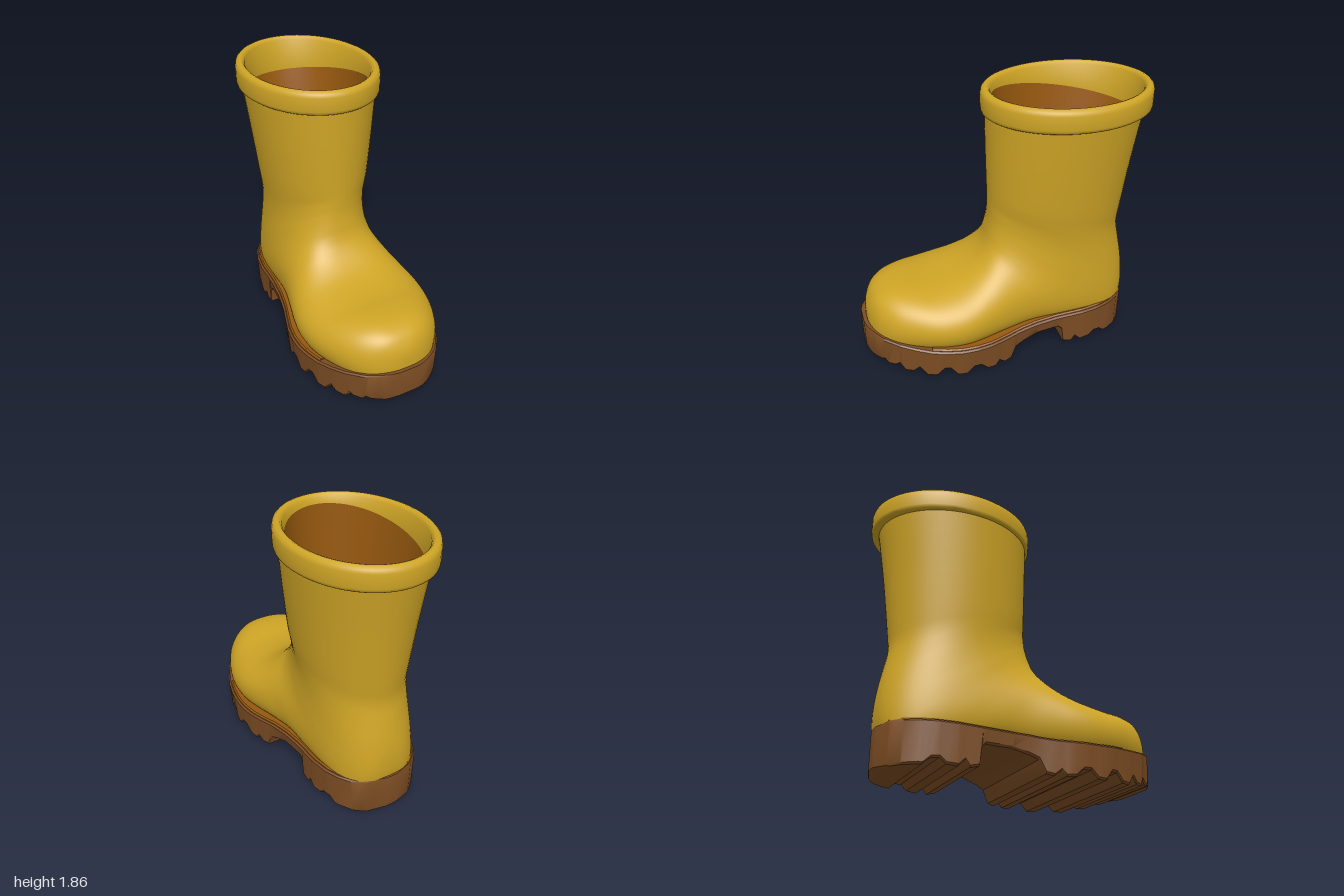
import * as THREE from 'three';
import { toCreasedNormals } from 'three/addons/utils/BufferGeometryUtils.js';

const yellow = new THREE.MeshStandardMaterial({ color: 0xcfa526 });
yellow.name = 'rubberYellow';
const brown = new THREE.MeshStandardMaterial({ color: 0x7e4e24 });
brown.name = 'soleBrown';
const orange = new THREE.MeshStandardMaterial({ color: 0x97590f });
orange.name = 'liningOrange';

// Skin a list of closed rings, each an array of [x, y, z]
function loft(rings) {
  const n = rings[0].length, index = [];
  for (let i = 0; i < rings.length - 1; i++) {
    for (let j = 0; j < n; j++) {
      const k = (j + 1) % n;
      const a = i * n + j, b = i * n + k, c = a + n, d = b + n;
      index.push(a, b, c, b, d, c);
    }
  }
  const geo = new THREE.BufferGeometry();
  geo.setAttribute('position', new THREE.Float32BufferAttribute(rings.flat(2), 3));
  geo.setIndex(index);
  geo.computeVertexNormals();
  return geo;
}

// Linear lookup in a table of [z, value], z falling
function lookup(table, z) {
  for (let i = 1; i < table.length; i++) {
    const [z0, v0] = table[i - 1], [z1, v1] = table[i];
    if (z >= z1) return v0 + (v1 - v0) * Math.min(1, Math.max(0, (z0 - z) / (z0 - z1)));
  }
  return table[table.length - 1][1];
}

// Oval ring from front zf to back zb, raised by tilt at the front and lowered at the back
function oval(y, cx, w, zf, zb, tilt = 0, n = 64) {
  return Array.from({ length: n }, (_, j) => {
    const t = (j / n) * Math.PI * 2;
    return [cx + w * Math.sin(t), y + tilt * Math.cos(t), (zf + zb) / 2 + ((zf - zb) / 2) * Math.cos(t)];
  });
}

// Toe-to-shaft sections: top z, top y, bottom z, bottom y, half width, roundness
const sections = [
  [0.973, 0.3, 0.973, 0.3, 0, 1],
  [0.968, 0.41, 0.968, 0.18, 0.08, 0.9],
  [0.94, 0.485, 0.94, 0.14, 0.17, 0.8],
  [0.89, 0.54, 0.89, 0.13, 0.25, 0.73],
  [0.80, 0.573, 0.80, 0.13, 0.33, 0.7],
  [0.68, 0.58, 0.66, 0.13, 0.398, 0.7],
  [0.55, 0.575, 0.50, 0.13, 0.447, 0.7],
  [0.42, 0.59, 0.34, 0.14, 0.462, 0.7],
  [0.31, 0.625, 0.2, 0.16, 0.447, 0.75],
  [0.22, 0.685, 0.02, 0.18, 0.412, 0.8],
  [0.16, 0.755, -0.2, 0.19, 0.378, 0.85],
  [0.13, 0.82, -0.5, 0.15, 0.36, 0.88],
  [0.115, 0.88, -0.72, 0.13, 0.35, 0.88],
  [0.105, 0.93, -0.84, 0.17, 0.342, 0.88],
  [0.1, 0.97, -0.885, 0.28, 0.335, 0.9],
  [0.098, 1.0, -0.893, 0.42, 0.328, 0.92],
  [0.097, 1.04, -0.88, 0.56, 0.325, 0.95],
  [0.097, 1.08, -0.855, 0.7, 0.328, 1],
  [0.097, 1.13, -0.83, 0.84, 0.338, 1],
  [0.098, 1.2, -0.845, 1.0, 0.355, 1],
  [0.102, 1.43, -0.89, 1.35, 0.39, 1],
  [0.105, 1.73, -0.95, 1.73, 0.43, 1],
];

function upperGeometry() {
  const curve = (f) => new THREE.CatmullRomCurve3(sections.map(f), false, 'catmullrom', 0.5);
  const top = curve((s) => new THREE.Vector3(0, s[1], s[0]));
  const bottom = curve((s) => new THREE.Vector3(0, s[3], s[2]));
  const shape = curve((s) => new THREE.Vector3(s[4], s[5], 0));
  const rings = [], steps = 84, n = 64;
  for (let i = 0; i <= steps; i++) {
    const u = i / steps;
    const A = top.getPoint(u), B = bottom.getPoint(u), s = shape.getPoint(u);
    const cx = 0.024 * THREE.MathUtils.smoothstep(u, 0.4, 1);
    // The lower half is squarer through the arch and heel
    const square = 0.43 * Math.exp(-(((u - 0.52) / 0.19) ** 2));
    rings.push(Array.from({ length: n }, (_, j) => {
      const th = (j / n) * Math.PI * 2, sn = Math.sin(th);
      const p = A.clone().lerp(B, (1 - Math.cos(th)) / 2);
      const e = Math.cos(th) > 0 ? s.y : s.y - square;
      return [cx + Math.sign(sn) * Math.max(0, s.x) * Math.pow(Math.abs(sn), e), p.y, p.z];
    }));
  }
  return loft(rings);
}

// Sole tables along z: half width, top height and lugged underside
const soleWidth = [[1, 0.08], [0.985, 0.14], [0.95, 0.205], [0.9, 0.275], [0.8, 0.352], [0.7, 0.405],
  [0.6, 0.447], [0.5, 0.473], [0.4, 0.486], [0.3, 0.486], [0.2, 0.47], [0.1, 0.44], [0, 0.41], [-0.15, 0.38],
  [-0.3, 0.365], [-0.5, 0.36], [-0.62, 0.34], [-0.72, 0.303], [-0.8, 0.25], [-0.86, 0.175], [-0.898, 0.05]];
const soleTop = [[1, 0.318], [0.9, 0.3], [0.75, 0.272], [0.6, 0.25], [0.4, 0.235], [0.2, 0.233],
  [0.08, 0.238], [-0.05, 0.255], [-0.25, 0.268], [-0.9, 0.282]];
const tread = [[1, 0.12], [0.97, 0.1], [0.92, 0.1], [0.9, 0.115], [0.88, 0.085], [0.84, 0.085], [0.81, 0.11],
  [0.78, 0.055], [0.73, 0.055], [0.69, 0.095], [0.64, 0.03], [0.58, 0.03], [0.53, 0.085], [0.49, 0.085],
  [0.44, 0.02], [0.38, 0.02], [0.33, 0.07], [0.28, 0.07], [0.23, 0.02], [0.17, 0.015], [0.14, 0.05],
  [0.1, 0.015], [0.05, 0.025], [0.01, 0.11], [-0.05, 0.135], [-0.16, 0.165], [-0.32, 0.17], [-0.345, 0.145],
  [-0.36, 0.03], [-0.42, 0.015], [-0.45, 0.055], [-0.49, 0.015], [-0.56, 0.02], [-0.6, 0.055],
  [-0.65, 0.05], [-0.69, 0.012], [-0.84, 0.008], [-0.898, 0.03]];

// Slab following the sole outline between z limits
function soleSlab(zMax, zMin, inset, topOf, bottomOf, taper) {
  const zs = [...new Set([zMax, zMin, ...soleWidth.map((p) => p[0]), ...tread.map((p) => p[0])])]
    .filter((z) => z <= zMax && z >= zMin).sort((a, b) => b - a);
  const rings = zs.map((z) => {
    const w = Math.max(0.01, lookup(soleWidth, z) - inset), t = topOf(z), b = bottomOf(z);
    const lw = w * taper, e = Math.min(0.012, w / 4);
    return [[-w + e, t, z], [w - e, t, z], [w, t - e, z], [lw, b + e, z], [lw - e, b, z],
      [-lw + e, b, z], [-lw, b + e, z], [-w, t - e, z]];
  });
  const cap = (r) => r.map(() => [0, (r[0][1] + r[4][1]) / 2, r[0][2]]);
  return toCreasedNormals(loft([cap(rings[0]), ...rings, cap(rings[rings.length - 1])]), 0.6);
}

export function createModel() {
  const boot = new THREE.Group();
  boot.name = 'boot';
  const add = (name, geometry, material) => {
    const mesh = new THREE.Mesh(geometry, material);
    mesh.name = name;
    boot.add(mesh);
  };

  add('upper', upperGeometry(), yellow);

  // Rolled cuff: height and inset, up the outside and down the inside to a slanted edge
  const cuff = [[1.712, 0.06], [1.71, 0.012], [1.716, 0.004], [1.735, 0], [1.825, 0], [1.847, 0.006],
    [1.86, 0.02], [1.865, 0.036], [1.858, 0.052], [1.84, 0.064]];
  const innerEdge = oval(1.715, 0.026, 0.384, 0.058, -0.925, 0.09);
  add('cuff', toCreasedNormals(loft([
    ...cuff.map(([y, i]) => oval(y, 0.027, 0.459 - i, 0.13 - i, -1 + i)), innerEdge]), 0.9), yellow);

  // Inside wall and insole
  add('lining', loft([
    innerEdge, oval(1.3, 0.024, 0.345, 0.05, -0.85),
    oval(1.0, 0.02, 0.305, 0.045, -0.805), oval(0.82, 0.016, 0.28, 0.035, -0.79),
    oval(0.32, 0.015, 0.28, 0.035, -0.79)]), orange);
  add('insole', loft([oval(0.325, 0.015, 0.28, 0.035, -0.79),
    oval(0.325, 0.015, 0.001, -0.377, -0.379)]), brown);

  // Lugged sole and the thin welt above it
  const top = (z) => lookup(soleTop, z);
  add('sole', soleSlab(1, -0.898, 0, top, (z) => lookup(tread, z), 0.965), brown);
  add('welt', soleSlab(0.6, -0.86, 0.016, (z) => top(z) + 0.01, (z) => top(z) - 0.03, 1), orange);

  return boot;
}
